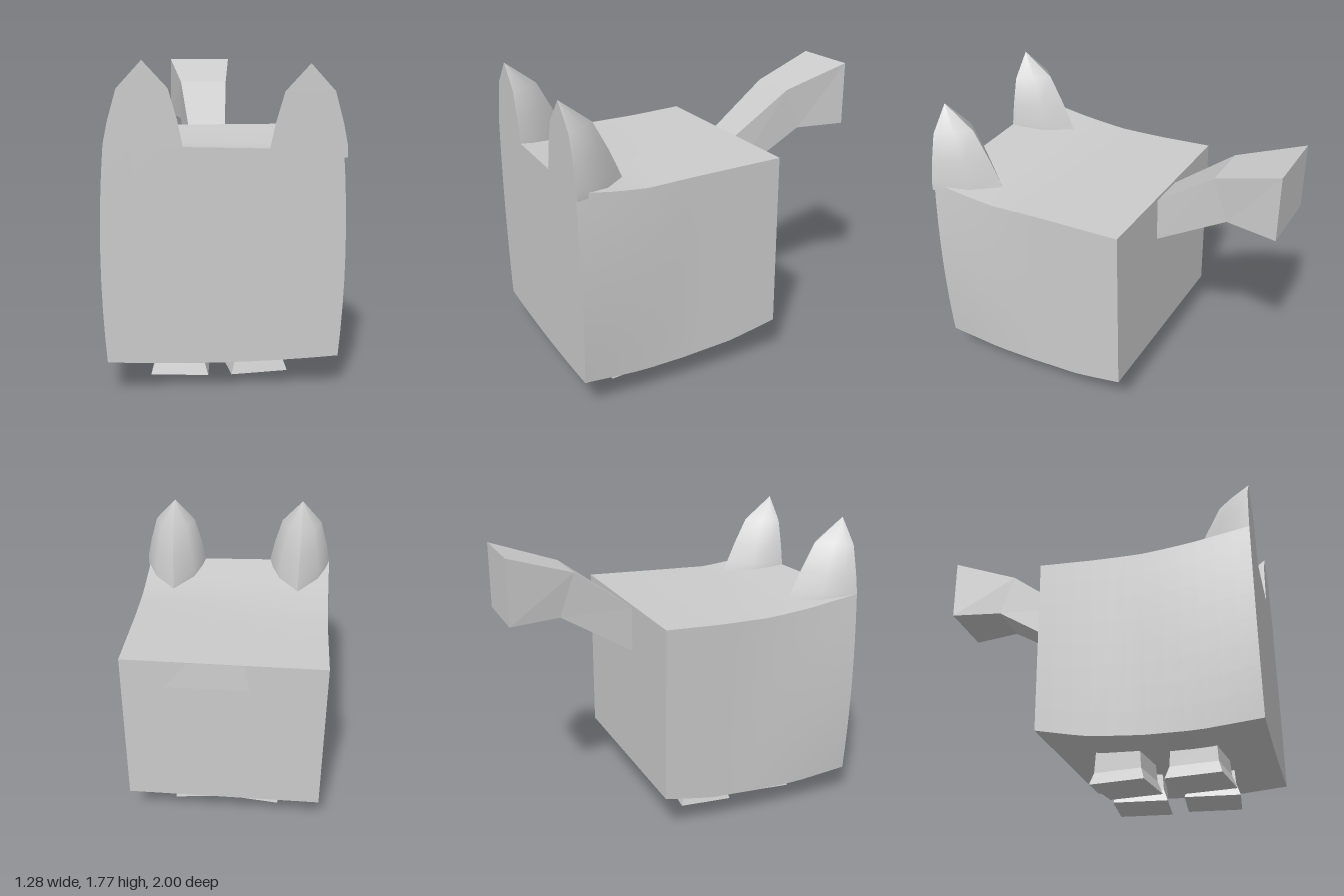
import * as THREE from 'three';

const smooth = new THREE.MeshStandardMaterial({ color: 0xcccccc, side: THREE.DoubleSide });
const faceted = new THREE.MeshStandardMaterial({ color: 0xcccccc, side: THREE.DoubleSide, flatShading: true });

// Piecewise-linear lookup in [key, value] pairs with rising keys
function lookup(pairs, k) {
  for (let i = 1; i < pairs.length; i++) {
    const [k0, v0] = pairs[i - 1], [k1, v1] = pairs[i];
    if (k <= k1) return THREE.MathUtils.lerp(v0, v1, Math.max(0, (k - k0) / (k1 - k0)));
  }
  return pairs[pairs.length - 1][1];
}

// Moves every vertex of a geometry by a rule: (x, y, z) => [x, y, z]
function reshape(geometry, rule) {
  const p = geometry.attributes.position;
  for (let i = 0; i < p.count; i++) p.setXYZ(i, ...rule(p.getX(i), p.getY(i), p.getZ(i)));
  geometry.computeVertexNormals();
  return geometry;
}

function mesh(name, geometry, material) {
  const m = new THREE.Mesh(geometry, material);
  m.name = name;
  return m;
}

// Block body: bulging front, sagging top and rounded underside
function createBody() {
  const topLeft = [[-0.24, 1.29], [0.4, 1.268], [0.6, 1.26], [0.8, 1.28], [1, 1.31]];
  const topRight = [[-0.24, 1.29], [0.1, 1.275], [0.4, 1.272], [0.66, 1.295], [1, 1.345]];
  const bottom = [[-0.24, 0.245], [0.05, 0.185], [0.35, 0.163], [0.65, 0.155], [1, 0.18]];
  const sides = [[-0.24, 0.617], [0.3, 0.608], [1, 0.615]];
  const geometry = reshape(new THREE.BoxGeometry(2, 2, 2, 8, 8, 12), (u, v, w) => {
    const z = 0.38 + 0.62 * w;
    const top = THREE.MathUtils.lerp(lookup(topRight, z), lookup(topLeft, z), (u + 1) / 2);
    const low = lookup(bottom, z) + (u * u - 0.5) * 0.02 * Math.max(0, w);
    const bulge = 0.025 * (1 - v * v) * Math.max(0, (z - 0.3) / 0.7);
    return [u * (lookup(sides, z) + bulge), THREE.MathUtils.lerp(low, top, (v + 1) / 2), z];
  });
  return mesh('body', geometry, smooth);
}

// Pointed ear: flat front, two curved halves meeting in a ridge behind
function createEar(name, tip, tipX, baseX) {
  const levels = [[0.48, 0.202, 0.35], [0.42, 0.2, 0.325], [0.3, 0.175, 0.27], [0.14, 0.129, 0.185], [0, 0, 0]];
  const section = [[1, 0], [0.9, 0.24], [0.64, 0.6], [0, 1]];
  const ear = new THREE.Group();
  ear.name = name;
  const surface = (columns, pick) => reshape(new THREE.PlaneGeometry(1, 1, columns, 4), (x, y) => {
    const [drop, width, depth] = levels[Math.round((y + 0.5) * 4)];
    const [sx, sz] = pick(Math.round((x + 0.5) * columns));
    const ridge = THREE.MathUtils.lerp(tipX, baseX, sz * drop / 0.48);
    return [ridge + sx * width, tip - drop, 1 - sz * depth];
  });
  for (const side of [1, -1]) {
    const half = surface(3, i => [section[side > 0 ? i : 3 - i][0] * side, section[side > 0 ? i : 3 - i][1]]);
    ear.add(mesh('earBack', half, smooth));
  }
  ear.add(mesh('earFront', surface(1, i => [i * 2 - 1, 0]), smooth));
  return ear;
}

// Tail: square bar that rises, bends and widens towards its end
function createTail() {
  // left x, right x, bottom y, bottom z, top y, top z
  const rings = [
    [0.215, -0.2, 1.28, -1, 1.67, -1],
    [0.16, -0.145, 1.28, -0.69, 1.535, -0.6],
    [0.12, -0.115, 1.0, -0.238, 1.27, -0.238],
  ];
  const geometry = reshape(new THREE.BoxGeometry(2, 2, 2, 1, 1, 2), (u, v, w) => {
    const [left, right, y0, z0, y1, z1] = rings[Math.round(w + 1)];
    return [u > 0 ? left : right, v > 0 ? y1 : y0, v > 0 ? z1 : z0];
  });
  return mesh('tail', geometry, faceted);
}

// Short leg that flares out at the foot, turned slightly outwards
function createLeg(name, side, z) {
  const rings = [[0, 0.161], [0.07, 0.139], [0.2, 0.131]];
  const geometry = reshape(new THREE.BoxGeometry(2, 2, 2, 1, 2, 1), (u, v, w) => {
    const [y, r] = rings[Math.round(v + 1)];
    return [u * r, y, w * r];
  });
  const leg = mesh(name, geometry, faceted);
  leg.position.set(side * 0.208, 0, z);
  leg.rotation.y = side * 0.11;
  return leg;
}

export function createModel() {
  const model = new THREE.Group();
  model.name = 'blockAnimal';
  model.add(createBody(), createTail());
  model.add(createEar('leftEar', 1.75, 0.435, 0.415), createEar('rightEar', 1.77, -0.415, -0.41));
  for (const [label, side] of [['Left', 1], ['Right', -1]]) {
    model.add(createLeg('front' + label + 'Leg', side, 0.595));
    model.add(createLeg('back' + label + 'Leg', side, 0.168));
  }
  return model;
}
